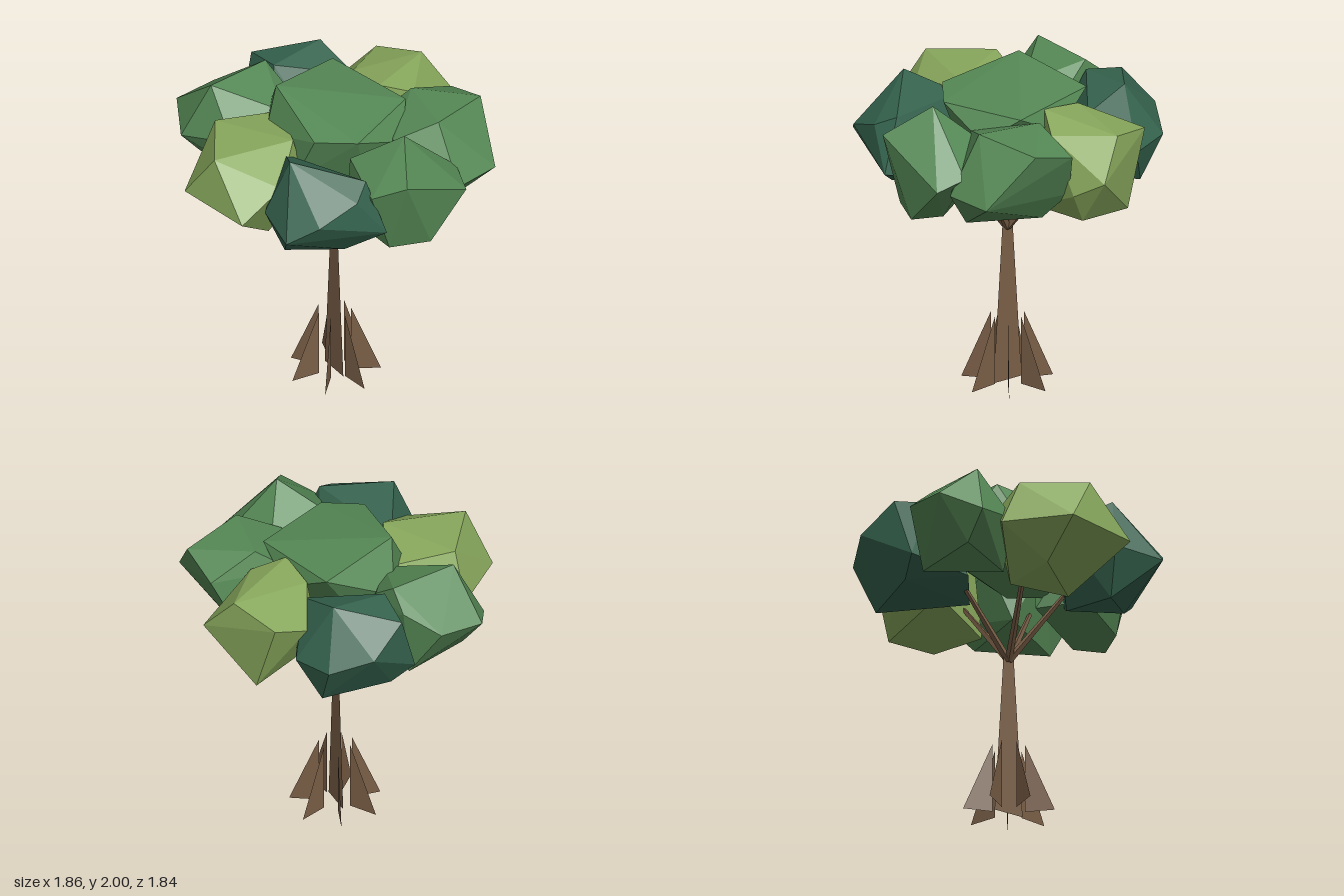
import * as THREE from 'three';
import { ConvexGeometry } from 'three/addons/geometries/ConvexGeometry.js';

const material = (name, color, side = THREE.FrontSide) => {
  const m = new THREE.MeshStandardMaterial({ color, side, flatShading: true });
  m.name = name;
  return m;
};

export function createModel() {
  const tree = new THREE.Group();
  tree.name = 'tree';

  const bark = material('bark brown', 0x7a5f47, THREE.DoubleSide);
  const mid = material('leaf green', 0x558855);
  const dark = material('deep green', 0x35634e);
  const lime = material('lime green', 0x88a85c);

  const rad = THREE.MathUtils.degToRad;
  const base = new THREE.Vector3(-0.02, 0, 0.01);

  const add = (name, geometry, mat) => {
    const mesh = new THREE.Mesh(geometry, mat);
    mesh.name = name;
    tree.add(mesh);
    return mesh;
  };

  // Flat upright plate: points are [radius, height], turned from +z towards +x
  const plate = (name, points, azimuth) => {
    const shape = new THREE.Shape(points.map(([r, y]) => new THREE.Vector2(r, y)));
    const mesh = add(name, new THREE.ShapeGeometry(shape), bark);
    mesh.position.copy(base);
    mesh.rotation.y = rad(azimuth - 90);
  };

  // Flat tapering trunk
  plate('trunk', [[-0.1, 0], [0.1, 0], [0.036, 1.03], [-0.036, 1.03]], 30);

  // Seven triangular buttress roots
  for (let i = 0; i < 7; i++) {
    plate('buttressRoot', [[0.1, 0], [0.28, 0], [0.1, 0.44]], 37 + (i * 360) / 7);
  }

  // Five branches spreading into the crown
  for (let i = 0; i < 5; i++) {
    const a = rad(66 + i * 72);
    const from = new THREE.Vector3(base.x, 1.0, base.z);
    const to = new THREE.Vector3(base.x + 0.36 * Math.sin(a), 1.46, base.z + 0.36 * Math.cos(a));
    const dir = to.clone().sub(from);
    const mesh = add('branch', new THREE.CylinderGeometry(0.013, 0.023, dir.length(), 4), bark);
    mesh.position.copy(from).add(to).multiplyScalar(0.5);
    mesh.quaternion.setFromUnitVectors(new THREE.Vector3(0, 1, 0), dir.normalize());
  }

  // Faceted leaf clump wrapped around a dozen corners
  const clump = (name, mat, corners) =>
    add(name, new ConvexGeometry(corners.map((c) => new THREE.Vector3(...c))), mat);

  // Crown: one central clump ringed by seven more
  clump('centreLeaves', mid, [
    [-0.36, 2, -0.08], [0, 1.92, -0.46], [0.41, 1.9, -0.04], [-0.16, 1.9, 0.39],
    [0.1, 1.89, 0.4], [-0.43, 1.75, 0.05], [-0.39, 1.72, -0.28], [0.38, 1.75, 0.19],
    [0.26, 1.75, -0.28], [-0.28, 1.55, 0.28], [0.15, 1.5, 0.25], [0, 1.42, 0], [-0.2, 1.5, -0.25],
  ]);
  clump('frontRightLeaves', lime, [
    [-0.93, 1.55, 0.34], [-0.76, 1.84, 0.45], [-0.61, 1.53, 0.7], [-0.28, 1.85, 0.28],
    [-0.37, 1.7, 0.57], [-0.8, 1.55, -0.08], [-0.73, 1.84, 0.03], [-0.34, 1.8, -0.1],
    [-0.43, 1.24, 0.34], [-0.7, 1.34, 0.2], [-0.2, 1.5, 0.25], [-0.35, 1.35, 0],
  ]);
  clump('backRightLeaves', mid, [
    [-0.93, 1.67, -0.46], [-0.92, 1.58, -0.2], [-0.74, 1.92, -0.22], [-0.4, 1.91, -0.48],
    [-0.7, 1.68, -0.62], [-0.47, 1.8, -0.59], [-0.63, 1.65, 0], [-0.32, 1.8, -0.1],
    [-0.29, 1.8, -0.38], [-0.8, 1.41, -0.28], [-0.5, 1.35, -0.53], [-0.2, 1.55, -0.3],
    [-0.5, 1.36, -0.05],
  ]);
  clump('backLeaves', dark, [
    [-0.32, 1.66, -0.89], [-0.05, 1.57, -0.92], [0.16, 1.55, -0.75], [-0.47, 1.82, -0.7],
    [-0.54, 1.45, -0.6], [-0.06, 1.9, -0.69], [-0.35, 1.87, -0.48], [0.13, 1.8, -0.46],
    [0, 1.3, -0.78], [-0.4, 1.34, -0.63], [0.18, 1.5, -0.35], [-0.35, 1.4, -0.25], [0, 1.37, -0.22],
  ]);
  clump('backLeftLeaves', lime, [
    [0.28, 1.77, -0.79], [0.54, 1.84, -0.61], [0.73, 1.61, -0.52], [0.65, 1.5, -0.34],
    [0.47, 1.82, -0.22], [0.26, 1.9, -0.19], [0.12, 1.87, -0.4], [0.1, 1.7, -0.66],
    [0.4, 1.3, -0.68], [0.56, 1.3, -0.4], [0.3, 1.29, -0.13], [0.05, 1.45, -0.4],
  ]);
  clump('leftLeaves', mid, [
    [0.93, 1.55, 0.2], [0.86, 1.86, -0.1], [0.59, 1.9, 0.22], [0.7, 1.78, -0.33],
    [0.54, 1.47, -0.32], [0.7, 1.55, 0.4], [0.5, 1.28, 0.29], [0.52, 1.31, -0.16],
    [0.45, 1.9, -0.15], [0.24, 1.75, -0.1], [0.32, 1.8, 0.25], [0.25, 1.4, 0.05],
  ]);
  clump('frontLeftLeaves', mid, [
    [0.37, 1.99, 0.48], [0.37, 1.81, 0.78], [0.74, 1.59, 0.48], [0.16, 1.72, 0.74],
    [0.03, 1.43, 0.48], [0.69, 1.65, 0.31], [0.52, 1.32, 0.62], [0.27, 1.32, 0.67],
    [0.4, 1.28, 0.42], [0.05, 1.8, 0.42], [0.38, 1.75, 0.18], [0.13, 1.42, 0.18],
  ]);
  clump('frontLeaves', dark, [
    [-0.36, 1.53, 0.91], [-0.16, 1.64, 0.92], [0.07, 1.74, 0.81], [-0.47, 1.57, 0.62],
    [-0.32, 1.92, 0.61], [0.13, 1.81, 0.68], [0.25, 1.49, 0.76], [-0.35, 1.28, 0.6],
    [0, 1.34, 0.7], [-0.33, 1.75, 0.28], [0.1, 1.4, 0.35], [-0.1, 1.3, 0.35],
  ]);

  return tree;
}
